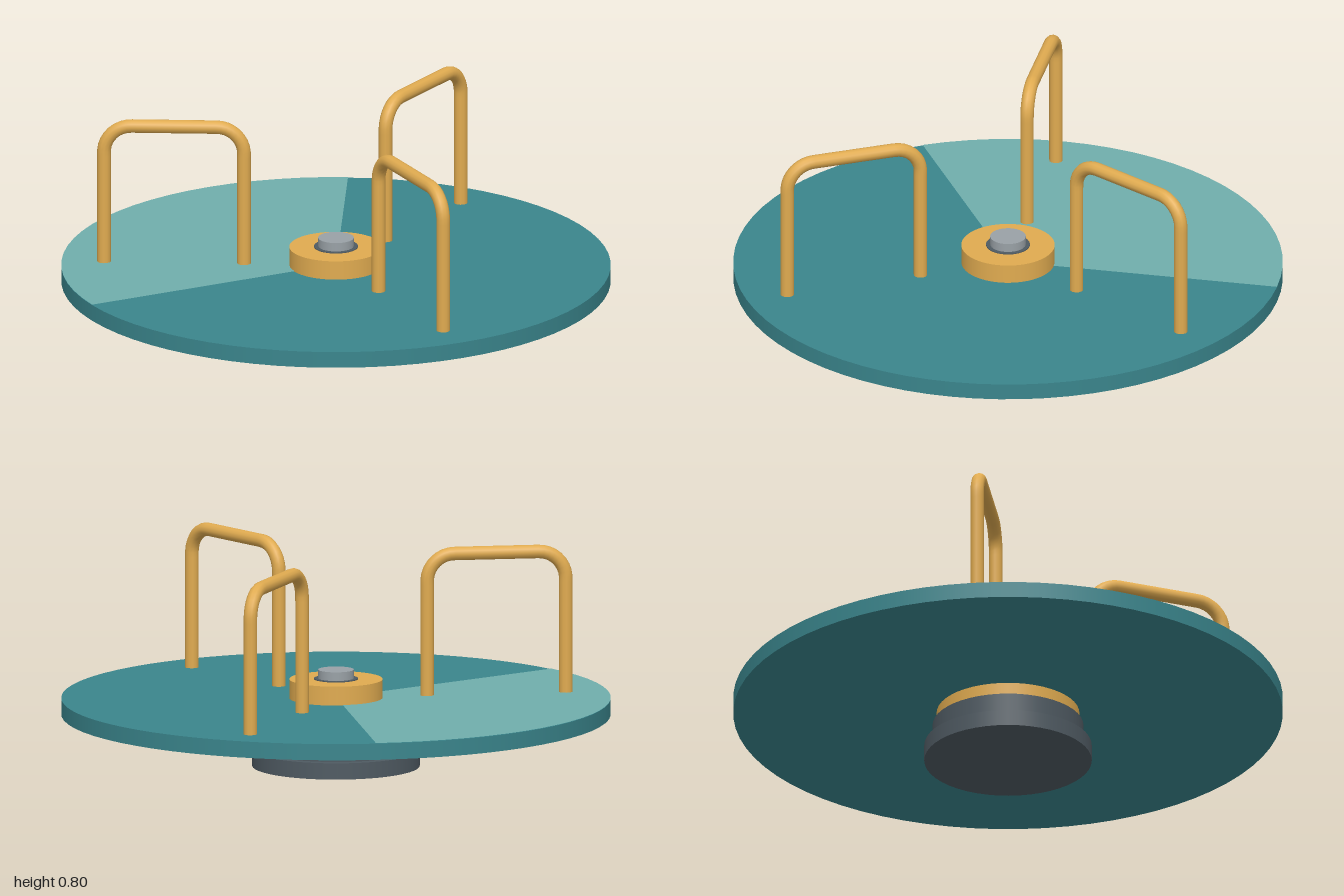
import * as THREE from 'three';

const material = (color, extra = {}) => new THREE.MeshStandardMaterial({ color, ...extra });
const teal = material(0x3a858c);
const paleTeal = material(0x70aeac);
const gold = material(0xe0ab50);
const darkSteel = material(0x4f5a62);
const steel = material(0x99a1a6);

// Upright cylinder between two heights
function disc(name, radius, bottom, top, mat, sides = 48) {
  const mesh = new THREE.Mesh(new THREE.CylinderGeometry(radius, radius, top - bottom, sides), mat);
  mesh.position.y = (bottom + top) / 2;
  mesh.name = name;
  return mesh;
}

// Hoop path: two legs joined by a bar with rounded corners
function hoopPath(inner, outer, bottom, top, r) {
  const p = (x, y) => new THREE.Vector3(x, y, 0);
  const k = r * 0.448; // handle length for a near-circular corner
  const path = new THREE.CurvePath();
  path.add(new THREE.LineCurve3(p(inner, bottom), p(inner, top - r)));
  path.add(new THREE.CubicBezierCurve3(p(inner, top - r), p(inner, top - k), p(inner + k, top), p(inner + r, top)));
  path.add(new THREE.LineCurve3(p(inner + r, top), p(outer - r, top)));
  path.add(new THREE.CubicBezierCurve3(p(outer - r, top), p(outer - k, top), p(outer, top - k), p(outer, top - r)));
  path.add(new THREE.LineCurve3(p(outer, top - r), p(outer, bottom)));
  return path;
}

export function createModel() {
  const model = new THREE.Group();
  model.name = 'merryGoRound';

  // Stepped pedestal and bearing
  model.add(disc('baseFoot', 0.305, 0, 0.06, darkSteel));
  model.add(disc('basePedestal', 0.275, 0.06, 0.14, darkSteel));
  model.add(disc('bearingRing', 0.26, 0.14, 0.19, gold));

  // Turning platform with a painted third
  model.add(disc('platform', 1, 0.19, 0.25, teal, 72));
  const sector = new THREE.Mesh(
    new THREE.CircleGeometry(1, 24, Math.PI * 2 / 3, Math.PI * 2 / 3), paleTeal);
  sector.rotation.x = -Math.PI / 2;
  sector.position.y = 0.252;
  sector.name = 'paintedSector';
  model.add(sector);

  // Centre hub and spindle
  model.add(disc('hub', 0.17, 0.25, 0.32, gold));
  model.add(disc('spindleCollar', 0.08, 0.25, 0.323, darkSteel, 32));
  model.add(disc('spindle', 0.065, 0.25, 0.355, steel, 32));

  // Three radial hand rails
  const railGeometry = new THREE.TubeGeometry(hoopPath(0.335, 0.845, 0.22, 0.772, 0.1), 80, 0.025, 12);
  for (let i = 0; i < 3; i++) {
    const rail = new THREE.Mesh(railGeometry, gold);
    rail.rotation.y = Math.PI / 2 + i * Math.PI * 2 / 3;
    rail.name = 'handRail' + (i + 1);
    model.add(rail);
  }
  return model;
}
